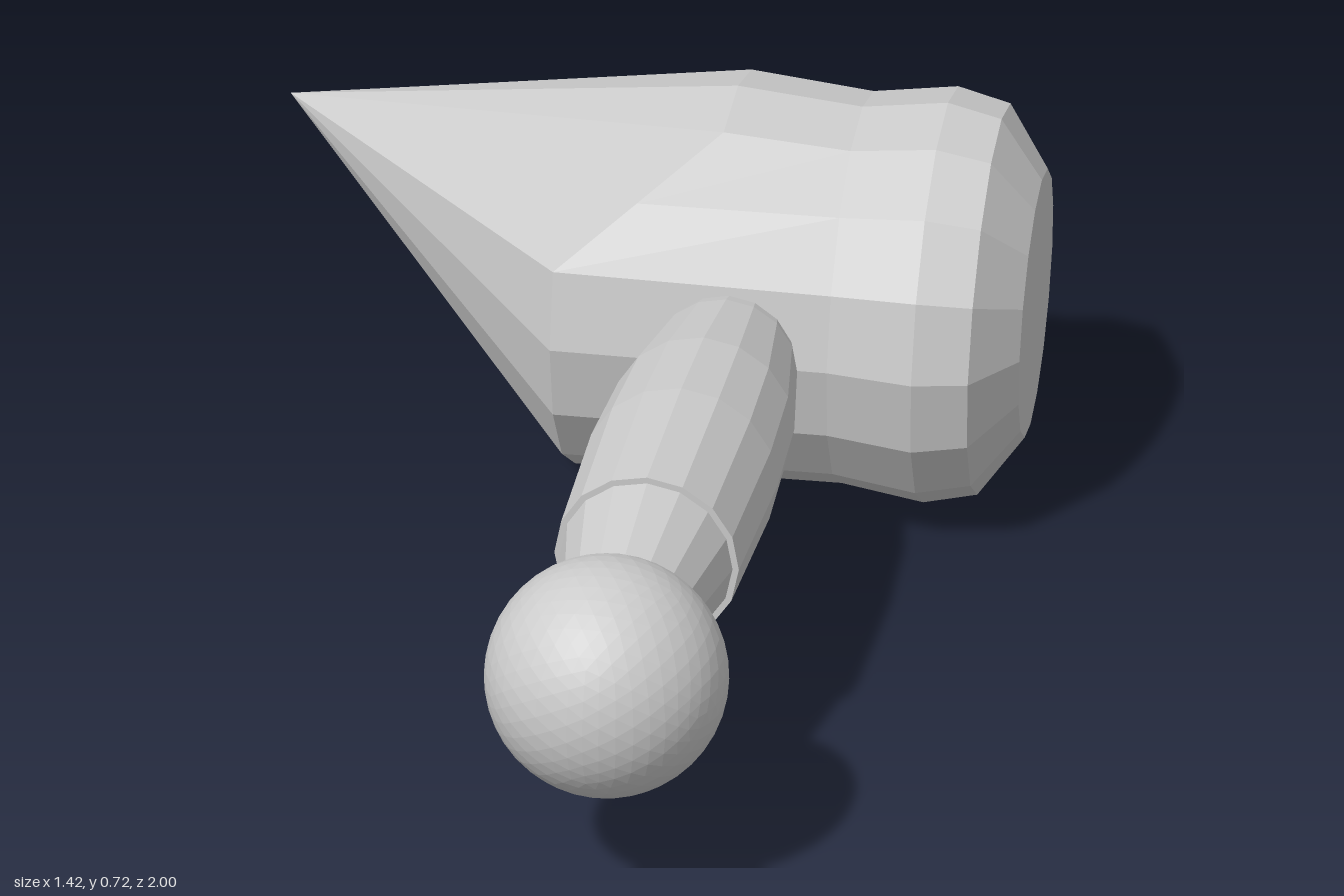
import * as THREE from 'three';

const SIDES = 16, CY = 0.365, CZ = -0.6;
const mat = new THREE.MeshStandardMaterial({ color: 0xcccccc, flatShading: true });

// One cross-section of the head; offset(j) returns [x, radius] for each corner
function ring(corner) {
  return Array.from({ length: SIDES }, (_, j) => {
    const a = (j / SIDES) * Math.PI * 2; // from the front (+z) towards the top
    const [x, r] = corner(j);
    return [x, CY + r * Math.sin(a), CZ + r * Math.cos(a)];
  });
}

// Slanted shoulder: the lower front corners reach further towards the tip
function shoulder(j) {
  if (j <= 1 || j >= 13) return [-0.07, 0.35];
  if (j === 2 || j === 12) return [0.055, 0.326];
  return [0.185, 0.36];
}

function headGeometry() {
  const rings = [
    ring(() => [0.71, 0]),
    ring(() => [0.71, 0.232]),
    ring(() => [0.637, 0.338]),
    ring(() => [0.545, 0.36]),
    ring(() => [0.4, 0.34]),
    ring(shoulder),
    Array.from({ length: SIDES }, () => [-0.71, 0.465, -1]), // off-centre tip
  ];
  const index = [];
  for (let i = 0; i < rings.length - 1; i++) {
    for (let j = 0; j < SIDES; j++) {
      const k = (j + 1) % SIDES;
      const a = i * SIDES + j, b = i * SIDES + k, c = a + SIDES, d = b + SIDES;
      if (i > 0) index.push(a, b, c);
      if (i < rings.length - 2) index.push(b, d, c);
    }
  }
  const geo = new THREE.BufferGeometry();
  geo.setAttribute('position', new THREE.Float32BufferAttribute(rings.flat(2), 3));
  geo.setIndex(index);
  geo.computeVertexNormals();
  return geo;
}

export function createModel() {
  const group = new THREE.Group();
  const add = (name, geo, x = 0, y = 0, z = 0) => {
    const mesh = new THREE.Mesh(geo, mat);
    mesh.name = name;
    mesh.position.set(x, y, z);
    group.add(mesh);
  };

  add('hammerHead', headGeometry());

  // Swelling grip with a small step before the neck
  const profile = [
    [0, -0.34], [0.1, -0.34], [0.122, -0.25], [0.152, -0.04], [0.158, 0.16],
    [0.146, 0.45], [0.136, 0.45], [0.1, 0.635], [0.09, 0.65], [0, 0.65],
  ].map(([r, z]) => new THREE.Vector2(r, z));
  add('handle', new THREE.LatheGeometry(profile, 16).rotateX(Math.PI / 2), 0.23, 0.368, 0);

  // Ball at the end of the handle
  add('pommel', new THREE.IcosahedronGeometry(0.183, 7), 0.24, 0.37, 0.817);

  return group;
}
